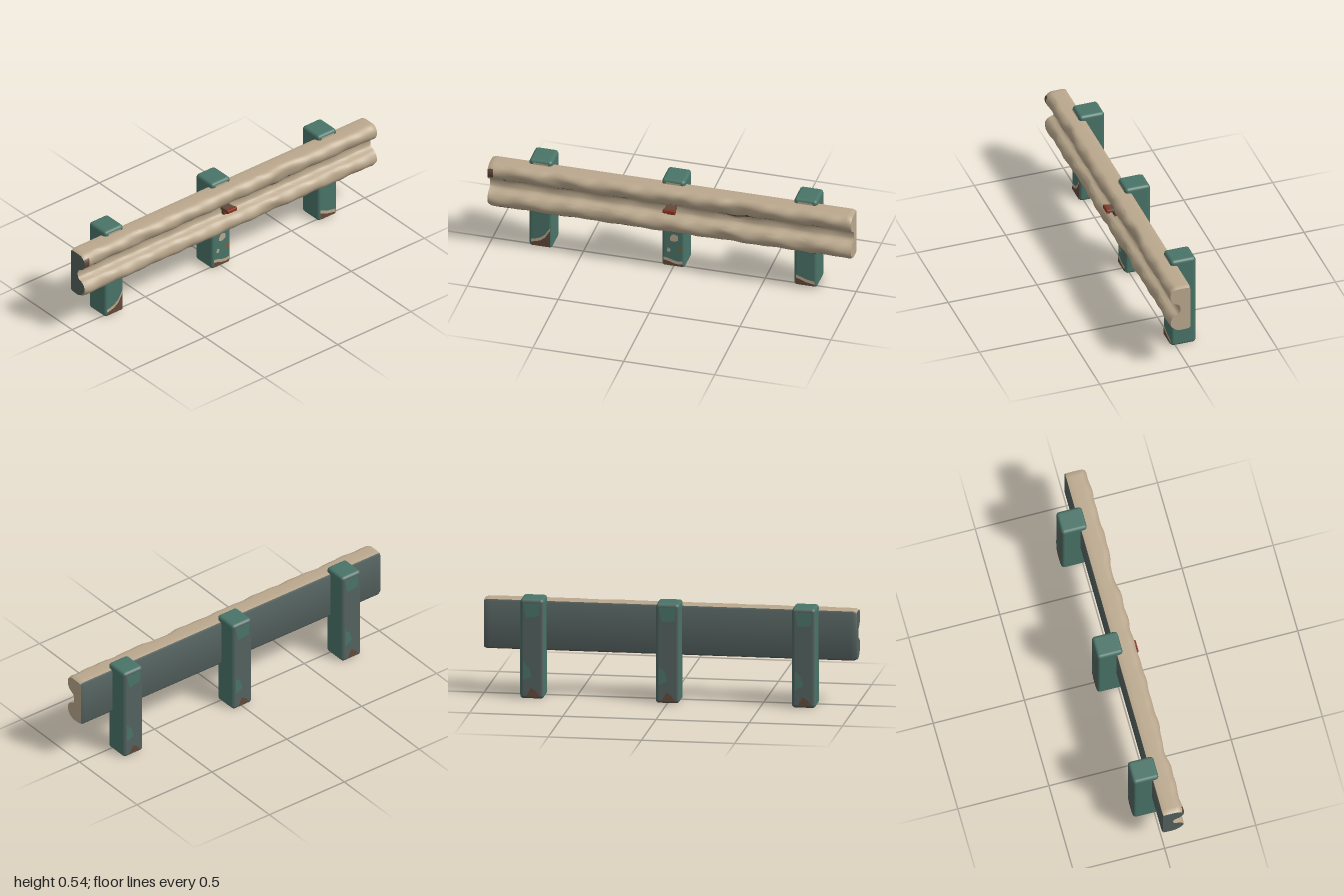
import * as THREE from 'three';
import { toCreasedNormals } from 'three/addons/utils/BufferGeometryUtils.js';
import { RoundedBoxGeometry } from 'three/addons/geometries/RoundedBoxGeometry.js';

function paint(name, color) {
  const m = new THREE.MeshStandardMaterial({ color });
  m.name = name;
  return m;
}
const cream = paint('cream paint', 0xbaa88d);
const teal = paint('teal paint', 0x4a7468);
const grey = paint('weathered grey', 0x54625f);
const brown = paint('dirt brown', 0x64493a);
const red = paint('rust red', 0x84331f);
const orange = paint('rust orange', 0xa8502c);

// Rail cross-section as [z, y]: bottom, two bulges with a groove between, top, back
const FRONT = [
  [-0.005, 0.243], [0.02, 0.24], [0.055, 0.241], [0.08, 0.254], [0.103, 0.283], [0.105, 0.312],
  [0.088, 0.338], [0.06, 0.35], [0.05, 0.362], [0.048, 0.395], [0.056, 0.409], [0.084, 0.425],
  [0.102, 0.452], [0.105, 0.485], [0.083, 0.509], [0.055, 0.513], [0.005, 0.513],
];
const profile = new THREE.CatmullRomCurve3(FRONT.map(([z, y]) => new THREE.Vector3(0, y, z)))
  .getPoints(48).map((p) => [p.z, p.y]);
profile.push([-0.008, 0.51], [-0.013, 0.5], [-0.013, 0.255], [-0.009, 0.246], profile[0].slice());

// Dents hammered into the rail: x, y, width, height, depth
const DENTS = [
  [0.38, 0.46, 0.07, 0.05, 0.022], [0.3, 0.29, 0.06, 0.03, 0.012], [0.05, 0.47, 0.05, 0.04, 0.01],
  [-0.42, 0.3, 0.07, 0.04, 0.012], [-0.62, 0.47, 0.08, 0.04, 0.009], [0.7, 0.3, 0.06, 0.03, 0.008],
];

function railPoint(x, [z, y]) {
  const front = THREE.MathUtils.smoothstep(z, 0.01, 0.08);
  let dz = front * (0.0025 * Math.sin(x * 23 + y * 40) + 0.002 * Math.sin(x * 51 - y * 25));
  for (const [dx, dy, w, h, d] of DENTS) {
    dz -= front * d * Math.exp(-(((x - dx) / w) ** 2) - ((y - dy) / h) ** 2);
  }
  // The groove sags near one dent, and both ends are slightly rounded
  const sag = 0.015 * Math.exp(-(((x - 0.35) / 0.07) ** 2) - ((y - 0.41) / 0.03) ** 2);
  const s = 1 - 0.05 * THREE.MathUtils.smoothstep(Math.abs(x), 0.985, 1);
  return [x, 0.377 + (y - 0.377 - sag) * s, 0.045 + (z + dz - 0.045) * s];
}

function makeRail() {
  const group = new THREE.Group();
  group.name = 'rail';
  const xs = [-1, -0.994, -0.985];
  for (let i = 1; i < 120; i++) xs.push(-0.985 + (1.97 * i) / 120);
  xs.push(0.985, 0.994, 1);
  const n = profile.length;
  const pos = [];
  for (const x of xs) for (const p of profile) pos.push(...railPoint(x, p));

  // Sort the quads by colour: cream skin, grey back, dirt in groove and underneath
  const lists = [[], [], []];
  for (let i = 0; i < xs.length - 1; i++) {
    for (let j = 0; j < n - 1; j++) {
      const [z0, y0] = profile[j], [z1, y1] = profile[j + 1];
      const z = (z0 + z1) / 2, y = (y0 + y1) / 2, x = xs[i];
      const rag = 0.006 * Math.sin(x * 19) + 0.005 * Math.sin(x * 47 + 1);
      let slot = 0;
      if (z < -0.006 && y > 0.25 && y < 0.508) slot = 1;
      else if (y < 0.25 + rag) slot = 2;
      else if (y > 0.404 && y < 0.424 + rag * 0.5 && z < 0.1) slot = 2;
      else if (x < -0.97 && y > 0.44 && y < 0.49) slot = 2;
      const a = i * n + j, b = a + n;
      lists[slot].push(a, b, a + 1, b, b + 1, a + 1);
    }
  }
  let geo = new THREE.BufferGeometry();
  geo.setAttribute('position', new THREE.Float32BufferAttribute(pos, 3));
  geo.setIndex(lists.flat());
  let start = 0;
  lists.forEach((l, k) => {
    geo.addGroup(start, l.length, k);
    start += l.length;
  });
  geo = toCreasedNormals(geo, 0.7);
  const skin = new THREE.Mesh(geo, [cream, grey, brown]);
  skin.name = 'railSkin';
  group.add(skin);

  // Flat end caps
  for (const side of [1, -1]) {
    const outline = profile.slice(0, -1).map((p) => {
      const [, y, z] = railPoint(side, p);
      return new THREE.Vector2(-side * z, y);
    });
    const cap = new THREE.Mesh(new THREE.ShapeGeometry(new THREE.Shape(outline)), side > 0 ? cream : grey);
    cap.rotation.y = (side * Math.PI) / 2;
    cap.position.x = side;
    cap.name = 'railEnd';
    group.add(cap);
  }
  return group;
}

// Thin paint patch on the front (or back) of a post, points are [x, y]
function patch(name, pts, material, layer = 1, back = false) {
  const shape = new THREE.Shape(pts.map(([x, y]) => new THREE.Vector2(back ? -x : x, y)));
  const mesh = new THREE.Mesh(new THREE.ShapeGeometry(shape), material);
  mesh.position.z = back ? -0.116 - layer * 0.0008 : 0.025 + layer * 0.0008;
  if (back) mesh.rotation.y = Math.PI;
  mesh.name = name;
  return mesh;
}

function makePost(x, worn) {
  const post = new THREE.Group();
  post.name = 'post';
  post.position.x = x;
  const body = new THREE.Mesh(
    new RoundedBoxGeometry(0.128, 0.54, 0.141, 3, 0.018),
    [teal, teal, teal, brown, teal, grey],
  );
  body.position.set(0, 0.27, -0.0455);
  body.name = 'postBody';
  post.add(body);

  // Dirt with a bare cream border around the foot; worn lists the border heights
  const xs = [-0.052, -0.025, 0, 0.025, 0.052];
  const foot = (extra) => [[-0.052, 0.01], [0.052, 0.01],
    ...xs.map((px, i) => [px, worn[i] + extra]).reverse()];
  post.add(patch('bareFoot', foot(0.018), cream, 1));
  post.add(patch('dirtyFoot', foot(0), brown, 2));
  post.add(patch('bareTop', [[-0.045, 0.5], [0.045, 0.5], [0.04, 0.524], [-0.04, 0.526]], cream));

  // Patches on the back
  post.add(patch('backFoot', [[-0.045, 0.012], [0.03, 0.012], [0.005, 0.06], [-0.02, 0.045]], brown, 1, true));
  post.add(patch('backPatch', [[-0.04, 0.45], [0.03, 0.44], [0.046, 0.52], [-0.045, 0.52]], teal, 1, true));
  post.add(patch('backPatch', [[0.0, 0.12], [0.046, 0.1], [0.045, 0.2], [0.015, 0.17]], teal, 1, true));
  return post;
}

function box(name, size, position, material, tilt = 0) {
  const mesh = new THREE.Mesh(new RoundedBoxGeometry(...size, 2, 0.004), material);
  mesh.position.set(...position);
  mesh.rotation.x = tilt;
  mesh.name = name;
  return mesh;
}

// Rusty bracket sticking out of the groove
function makeBracket() {
  const g = new THREE.Group();
  g.name = 'bracket';
  g.add(box('bracketPlate', [0.046, 0.045, 0.022], [0, 0.377, 0.063], brown, 0.08));
  g.add(box('bracketFace', [0.04, 0.036, 0.008], [0, 0.376, 0.072], red, 0.08));
  g.add(box('bracketArm', [0.058, 0.018, 0.054], [0, 0.395, 0.077], brown, -0.1));
  g.add(box('bracketTip', [0.066, 0.02, 0.02], [0, 0.397, 0.109], red, -0.1));
  return g;
}

export function createModel() {
  const model = new THREE.Group();
  model.name = 'guardRail';
  model.add(makeRail());
  model.add(makePost(-0.73, [0.03, 0.035, 0.045, 0.065, 0.11]));
  const middle = makePost(0, [0.04, 0.035, 0.026, 0.022, 0.025]);
  model.add(middle);
  model.add(makePost(0.727, [0.05, 0.04, 0.03, 0.025, 0.02]));

  // Extra chips on the middle post
  middle.add(patch('chip', [[-0.018, 0.165], [0.005, 0.158], [0.028, 0.17], [0.025, 0.2], [0, 0.206], [-0.015, 0.19]], cream));
  middle.add(patch('chip', [[-0.035, 0.095], [-0.02, 0.09], [-0.012, 0.11], [-0.03, 0.12]], cream));
  middle.add(patch('rustSpot', [[0.03, 0.11], [0.045, 0.098], [0.052, 0.12], [0.036, 0.132]], orange));
  model.add(makeBracket());
  return model;
}
